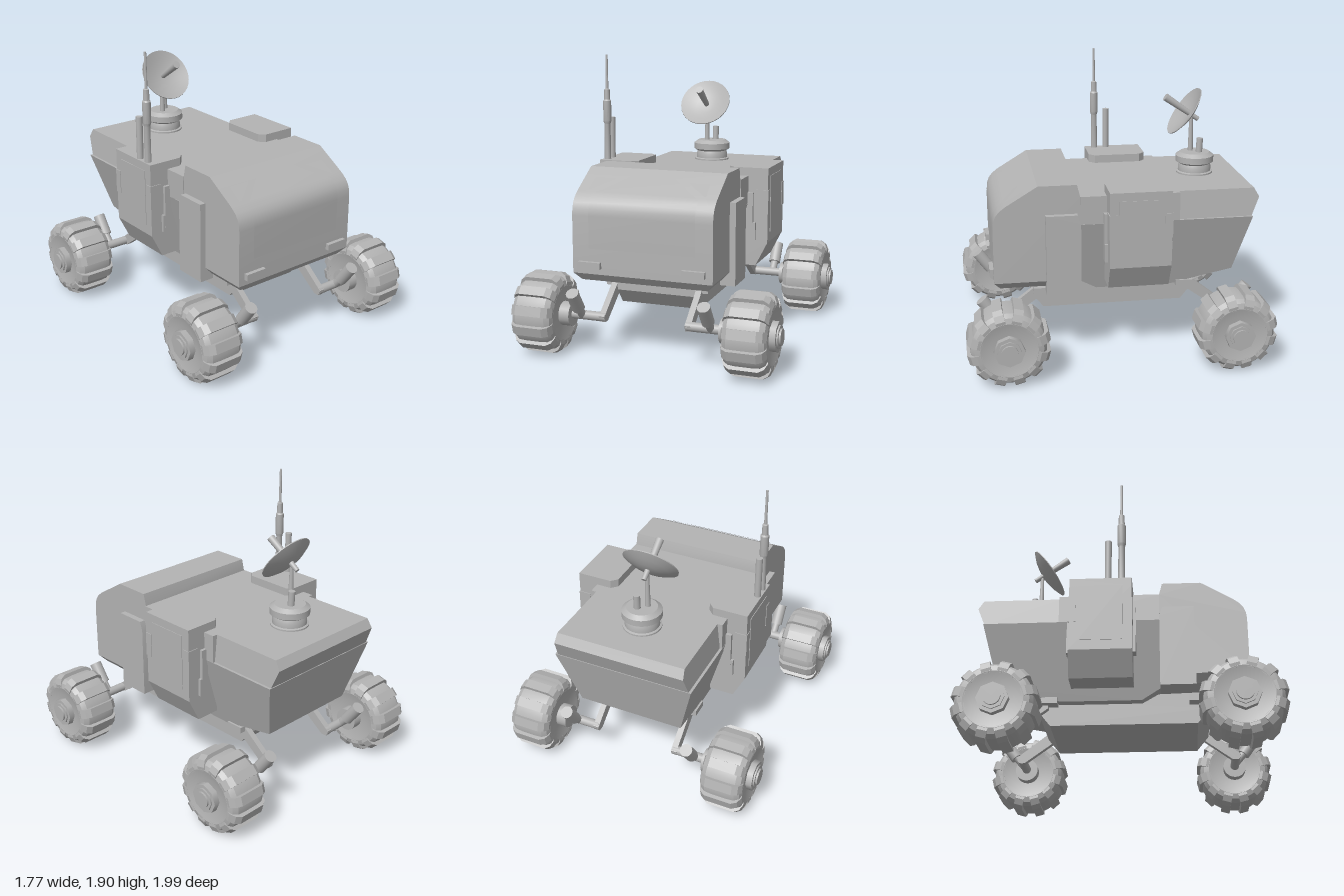
import * as THREE from 'three';
import { toCreasedNormals } from 'three/addons/utils/BufferGeometryUtils.js';

const grey = new THREE.MeshStandardMaterial({ color: 0xb3b3b3 });
grey.name = 'hull grey';

function add(parent, name, geometry, x = 0, y = 0, z = 0) {
  const mesh = new THREE.Mesh(geometry, grey);
  mesh.name = name;
  mesh.position.set(x, y, z);
  parent.add(mesh);
  return mesh;
}

const shapeOf = pts => new THREE.Shape(pts.map(p => new THREE.Vector2(p[0], p[1])));
const prism = (pts, depth) =>
  new THREE.ExtrudeGeometry(shapeOf(pts), { depth, bevelEnabled: false }).translate(0, 0, -depth / 2);

// Side profile [z, y] spread across x; the half width goes from wTop to wBottom
function hull(pts, wTop, wBottom = wTop) {
  const g = prism(pts, 2).rotateY(-Math.PI / 2);
  const ys = pts.map(p => p[1]), lo = Math.min(...ys), hi = Math.max(...ys);
  const p = g.attributes.position;
  for (let i = 0; i < p.count; i++) {
    const t = (p.getY(i) - lo) / (hi - lo);
    p.setX(i, p.getX(i) * (wBottom + (wTop - wBottom) * t));
  }
  return toCreasedNormals(g, 0.5);
}

const lathe = (pts, sides = 32) =>
  toCreasedNormals(new THREE.LatheGeometry(pts.map(p => new THREE.Vector2(p[0], p[1])), sides), 0.5);

// Round bar between two points
function rod(parent, name, a, b, r0, r1 = r0) {
  const A = new THREE.Vector3(...a), B = new THREE.Vector3(...b), d = B.clone().sub(A);
  const mesh = add(parent, name, new THREE.CylinderGeometry(r1, r0, d.length(), 20));
  mesh.position.copy(A).add(B).multiplyScalar(0.5);
  mesh.quaternion.setFromUnitVectors(new THREE.Vector3(0, 1, 0), d.normalize());
  return mesh;
}

// Cabin nose curve, [z, y] from bottom to top
const nose = [[0.8, 0.56], [0.8, 0.93], [0.795, 0.975], [0.782, 1.01], [0.76, 1.04], [0.72, 1.072], [0.51, 1.2]];
function noseZ(y) {
  for (let i = 1; i < nose.length; i++) {
    const [z0, y0] = nose[i - 1], [z1, y1] = nose[i];
    if (y <= y1) return z0 + (z1 - z0) * (y - y0) / (y1 - y0);
  }
  return 0.51;
}

// Thin sheet following the nose; rows are [y, xLeft, xRight]
function noseSheet(rows) {
  const pos = [], idx = [];
  rows.forEach(([y, a, b], i) => {
    const z = noseZ(y) + 0.005;
    pos.push(a, y + 0.004, z, b, y + 0.004, z);
    if (i) {
      const k = i * 2;
      idx.push(k - 2, k - 1, k + 1, k - 2, k + 1, k);
    }
  });
  const g = new THREE.BufferGeometry();
  g.setAttribute('position', new THREE.Float32BufferAttribute(pos, 3));
  g.setIndex(idx);
  g.computeVertexNormals();
  return g;
}

function buildBody(root) {
  const body = new THREE.Group();
  body.name = 'body';
  root.add(body);
  add(body, 'cabin', hull([...nose, [0.26, 1.2], [0.24, 1.12], [0.24, 0.56]], 0.465));
  add(body, 'cabinChin', hull([[0.8, 0.56], [0.24, 0.56], [0.24, 0.51], [0.76, 0.51]], 0.465, 0.42));
  add(body, 'midRoof', hull([[0.24, 1.12], [-0.41, 1.12], [-0.41, 0.935], [0.24, 0.935]], 0.47));
  add(body, 'rearLid', hull([[-0.41, 1.12], [-0.91, 1.12], [-0.945, 1.06], [-0.895, 0.935], [-0.41, 0.935]], 0.435, 0.455));
  add(body, 'lowerHull', hull([[0.24, 0.935], [-0.9, 0.935], [-0.8, 0.535], [-0.6, 0.49],
    [-0.4, 0.44], [0.12, 0.44], [0.24, 0.51]], 0.472, 0.33));
  add(body, 'belly', hull([[0.55, 0.51], [0.55, 0.4], [0.47, 0.3], [-0.47, 0.3], [-0.55, 0.4], [-0.55, 0.48]], 0.27));

  // Windscreen wraps around the nose
  const glass = [0.72, 0.93, 0.975, 1.01, 1.04, 1.06].map(y => [y, -0.352, 0.352]);
  add(body, 'windscreen', noseSheet([...glass, [1.072, -0.325, 0.325], [1.16, -0.14, 0.14]]));

  for (const s of [1, -1]) {
    add(body, 'cornerWindow', noseSheet([
      [1.08, s * 0.385 - 0.008, s * 0.385 + 0.008],
      [1.142, Math.min(s * 0.24, s * 0.385), Math.max(s * 0.24, s * 0.385)]]));
    add(body, 'headlight', new THREE.BoxGeometry(0.15, 0.042, 0.03), s * 0.345, 0.62, 0.812);
    add(body, 'cabinDoor', hull([[0.465, 1.01], [0.26, 1.01], [0.24, 0.95], [0.24, 0.47], [0.465, 0.47]], 0.05)
      , s * 0.455);
  }
}

function buildSideModule(root, s) {
  const pod = new THREE.Group();
  pod.name = s > 0 ? 'leftModule' : 'rightModule';
  pod.position.z = -0.13;
  root.add(pod);
  add(pod, 'moduleShell', prism([[0.36, 1.12], [0.605, 1.12], [0.605, 0.675], [0.525, 0.515], [0.36, 0.515]]
    .map(([x, y]) => [s * x, y]), 0.4));
  // Cap with clipped inner corners
  const cap = prism([[0.33, -0.16], [0.37, -0.2], [0.605, -0.2], [0.605, 0.2], [0.37, 0.2], [0.33, 0.16]]
    .map(([x, z]) => [s * x, z]), 0.06).rotateX(Math.PI / 2);
  add(pod, 'moduleCap', cap, 0, 1.145, 0);
  add(pod, 'modulePanel', new THREE.BoxGeometry(0.008, 0.38, 0.28), s * 0.605, 0.93, 0);
  for (const e of [1, -1]) {
    add(pod, 'moduleLatch', new THREE.BoxGeometry(0.082, 0.16, 0.05), s * 0.568, 0.95, e * 0.18);
    add(pod, 'moduleHinge', new THREE.BoxGeometry(0.06, 0.12, 0.03), s * 0.495, 0.75, e * 0.205);
    add(pod, 'moduleRib', new THREE.BoxGeometry(0.05, 0.32, 0.025), s * 0.483, 0.85, e * 0.208);
  }
}

// Wheel lying along x, outer face toward +x
function buildWheel() {
  const wheel = new THREE.Group();
  wheel.name = 'wheel';
  const tyre = lathe([[0, -0.125], [0.12, -0.125], [0.18, -0.14], [0.215, -0.13], [0.236, -0.1], [0.24, -0.05],
    [0.24, 0.05], [0.236, 0.1], [0.215, 0.13], [0.18, 0.14], [0.12, 0.125], [0, 0.125]], 48);
  add(wheel, 'tyre', tyre.rotateZ(-Math.PI / 2));
  const lug = prism([[-0.138, 0.17], [0.138, 0.17], [0.142, 0.2], [0.125, 0.24], [0.09, 0.262],
    [-0.09, 0.262], [-0.125, 0.24], [-0.142, 0.2]], 0.062);
  for (let i = 0; i < 12; i++) add(wheel, 'treadLug', lug).rotation.x = (i + 0.5) * Math.PI / 6;
  const hub = (name, r, x0, x1, n) =>
    add(wheel, name, new THREE.CylinderGeometry(r, r, x1 - x0, n).rotateZ(-Math.PI / 2), (x0 + x1) / 2);
  hub('hubPlate', 0.098, 0.12, 0.165, 8);
  hub('hubNut', 0.075, 0.16, 0.175, 8);
  hub('hubCap', 0.053, 0.17, 0.187, 20);
  hub('innerHub', 0.078, -0.195, -0.12, 20);
  return wheel;
}

function buildCorner(root, s, f) {
  const corner = new THREE.Group();
  corner.name = (f > 0 ? 'front' : 'rear') + (s > 0 ? 'Left' : 'Right') + 'Suspension';
  root.add(corner);
  const wheel = buildWheel();
  wheel.position.set(s * 0.698, 0.263, f * 0.733);
  if (s < 0) wheel.rotation.y = Math.PI;
  corner.add(wheel);
  rod(corner, 'axle', [s * 0.275, 0.265, f * 0.733], [s * 0.56, 0.265, f * 0.733], 0.03);
  // Drop arm leaning out from the belly
  add(corner, 'dropArm', hull([[f * 0.48, 0.46], [f * 0.53, 0.46], [f * 0.765, 0.275], [f * 0.75, 0.237],
    [f * 0.71, 0.237], [f * 0.48, 0.405]], 0.02), s * 0.29);
  add(corner, 'armMount', new THREE.BoxGeometry(0.08, 0.04, 0.12), s * 0.31, 0.445, f * 0.48);
  rod(corner, 'damper', [s * 0.435, 0.325, f * 0.795], [s * 0.435, 0.447, f * 0.885], 0.041);
  rod(corner, 'damperLink', [s * 0.435, 0.265, f * 0.74], [s * 0.435, 0.335, f * 0.8], 0.026);
}

function buildDish(root) {
  const dish = new THREE.Group();
  dish.name = 'dishAntenna';
  root.add(dish);
  add(dish, 'dishBase', lathe([[0, 1.11], [0.125, 1.11], [0.125, 1.13], [0.112, 1.135], [0.112, 1.165], [0.105, 1.185],
    [0.13, 1.2], [0.13, 1.242], [0.1, 1.264], [0, 1.264]]), -0.01, 0, -0.615);
  rod(dish, 'dishMast', [-0.04, 1.25, -0.592], [-0.04, 1.5, -0.592], 0.018, 0.012);
  rod(dish, 'dishActuator', [0.01, 1.25, -0.64], [0.01, 1.36, -0.645], 0.022);
  const bowl = lathe([[0, -0.045], [0.07, -0.036], [0.13, -0.02], [0.183, 0.004], [0.182, 0.01],
    [0.13, -0.01], [0.07, -0.026], [0, -0.034]]);
  add(dish, 'dishBowl', bowl, -0.04, 1.538, -0.548).rotation.x = 0.95;
  rod(dish, 'dishFeed', [-0.04, 1.482, -0.64], [-0.04, 1.642, -0.41], 0.016, 0.026);
}

export function createModel() {
  const root = new THREE.Group();
  root.name = 'rover';
  buildBody(root);
  for (const s of [1, -1]) {
    buildSideModule(root, s);
    for (const f of [1, -1]) buildCorner(root, s, f);
  }
  buildDish(root);

  // Whip antenna and stub beside it
  add(root, 'whipAntenna', lathe([[0, 1.17], [0.023, 1.17], [0.021, 1.42], [0.028, 1.44], [0.028, 1.58], [0.021, 1.59],
    [0.019, 1.66], [0.01, 1.665], [0.008, 1.9], [0, 1.9]], 16), -0.575, 0, 0.003);
  rod(root, 'stubAntenna', [-0.577, 1.17, -0.083], [-0.577, 1.46, -0.083], 0.022);
  return root;
}
